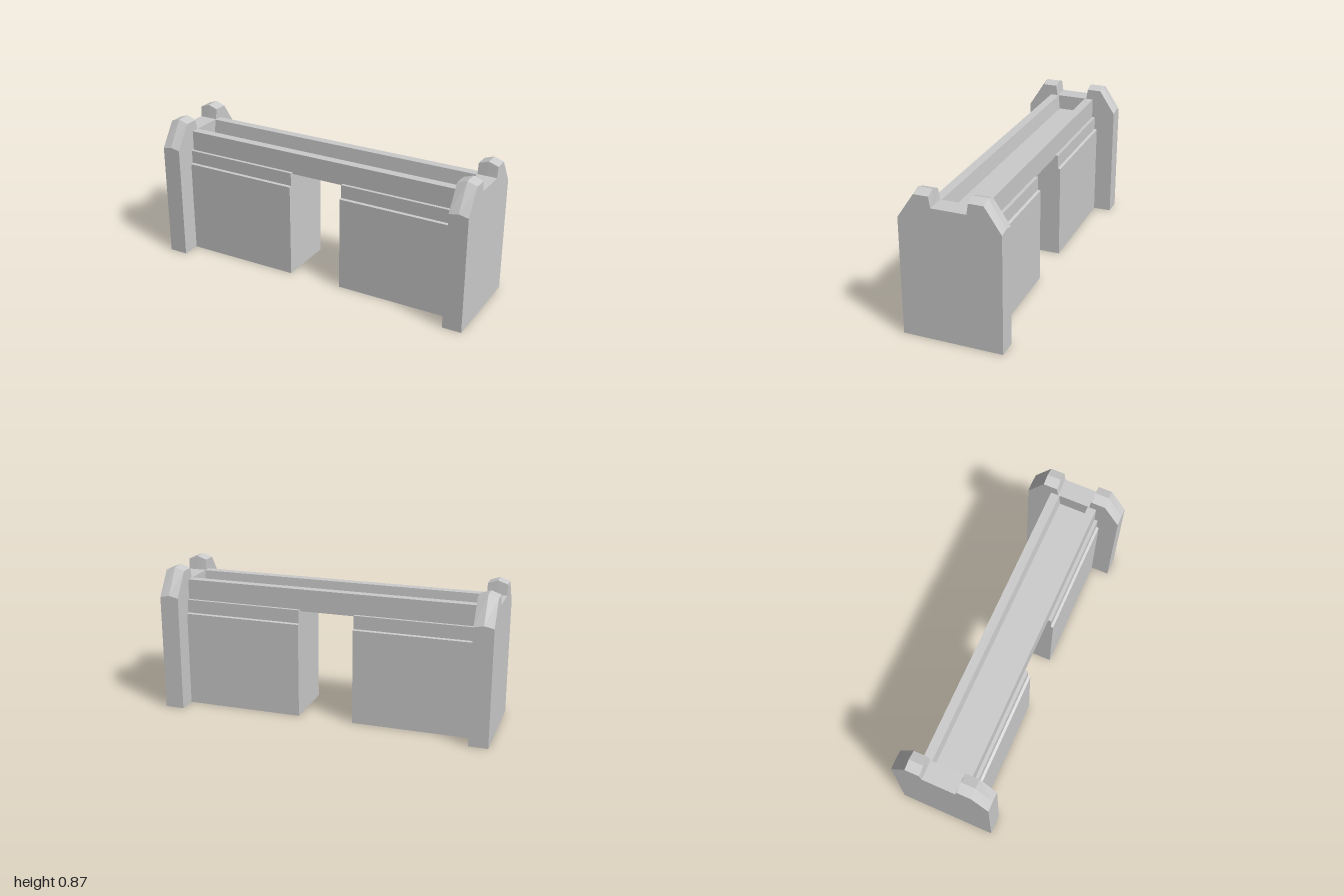
import * as THREE from 'three';

const material = new THREE.MeshStandardMaterial({ color: 0xcccccc, flatShading: true });

// Mirrors a half profile of [z, y] points, listed from the base up to the centre.
function mirrored(half) {
  const other = half.map(([z, y]) => [-z, y]).reverse();
  return new THREE.Shape([...half, ...other].map(([z, y]) => new THREE.Vector2(z, y)));
}

// Sweeps a symmetric profile along x, from x0 to x1.
function sweep(half, x0, x1, steps = 1) {
  const geometry = new THREE.ExtrudeGeometry(mirrored(half), {
    depth: x1 - x0, steps, bevelEnabled: false,
  });
  geometry.rotateY(Math.PI / 2);
  geometry.translate(x0, 0, 0);
  return geometry;
}

function addPart(group, name, geometry) {
  const mesh = new THREE.Mesh(geometry, material);
  mesh.name = name;
  group.add(mesh);
}

const PIER_IN = 0.885, PIER_OUT = 1.0;

// End pier: notched slab whose top and shoulders rise to a ridge at mid thickness
function pierGeometry() {
  const half = [[0.292, 0], [0.292, 0.70], [0.195, 0.845], [0.11, 0.845], [0.10, 0.782]];
  const geometry = sweep(half, PIER_IN, PIER_OUT, 2);
  const p = geometry.attributes.position;
  const mid = (PIER_IN + PIER_OUT) / 2;
  for (let i = 0; i < p.count; i++) {
    if (Math.abs(p.getX(i) - mid) > 0.01) continue;
    const y = p.getY(i);
    if (y > 0.84) p.setY(i, 0.865);
    else if (y > 0.69 && y < 0.71) p.setY(i, 0.712);
  }
  geometry.computeVertexNormals();
  return geometry;
}

export function createModel() {
  const model = new THREE.Group();
  model.name = 'wallSection';

  // Upper wall: spans the gateway, with a sunken walkway between two parapets
  const upper = [[0.145, 0.65], [0.145, 0.782], [0.092, 0.782], [0.083, 0.69]];
  addPart(model, 'upperWall', sweep(upper, -PIER_IN, PIER_IN));

  // Lower wall blocks: stepped in twice towards the top
  const lower = [[0.18, 0], [0.18, 0.575], [0.165, 0.58], [0.165, 0.66]];
  for (const [side, sign] of [['left', 1], ['right', -1]]) {
    const [a, b] = sign > 0 ? [0.168, PIER_IN] : [-PIER_IN, -0.168];
    addPart(model, side + 'LowerWall', sweep(lower, a, b));

    const pier = pierGeometry();
    if (sign < 0) pier.rotateY(Math.PI);
    addPart(model, side + 'EndPier', pier);
  }
  return model;
}
